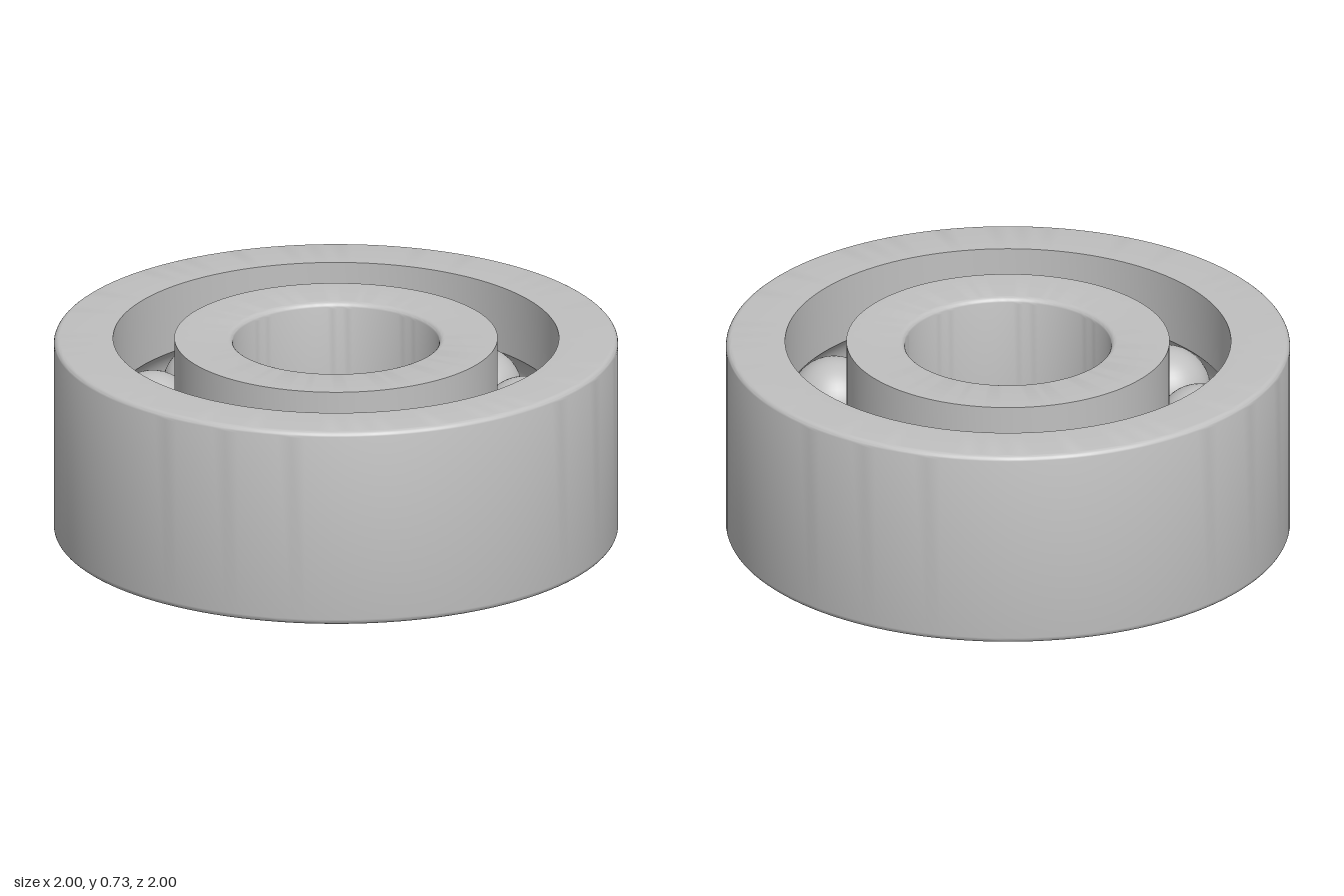
import * as THREE from 'three';
import { toCreasedNormals } from 'three/addons/utils/BufferGeometryUtils.js';

const HEIGHT = 0.725, MID = HEIGHT / 2;
const OUTER = 1, OUTER_LIP = 0.79, INNER_LIP = 0.573, BORE = 0.365;
const FILLET = 0.022;
const PITCH = 0.682, BALL = 0.157, BALLS = 12, TURN = -0.096;

// Points along an arc, both ends included
function arc(cx, cy, r, from, to, steps) {
  return Array.from({ length: steps + 1 }, (_, i) => {
    const a = from + (to - from) * i / steps;
    return new THREE.Vector2(cx + r * Math.cos(a), cy + r * Math.sin(a));
  });
}

// Revolve a closed section, keeping its corners sharp and its fillets smooth
function ring(name, section, material) {
  const geometry = new THREE.LatheGeometry([...section, section[0].clone()], 128);
  const mesh = new THREE.Mesh(toCreasedNormals(geometry, 0.5), material);
  mesh.name = name;
  return mesh;
}

export function createModel() {
  const steel = new THREE.MeshStandardMaterial({ color: 0xc0c0c0 });
  steel.name = 'steel';
  const model = new THREE.Group();
  model.name = 'ballBearing';
  const point = (r, y) => new THREE.Vector2(r, y);
  const q = Math.PI / 2;

  // Outer ring: filleted outside edges, ball groove on the inside wall
  const groove = BALL + 0.002;
  const outerAngle = Math.acos((OUTER_LIP - PITCH) / groove);
  model.add(ring('outerRing', [
    point(OUTER_LIP, 0),
    ...arc(OUTER - FILLET, FILLET, FILLET, -q, 0, 6),
    ...arc(OUTER - FILLET, HEIGHT - FILLET, FILLET, 0, q, 6),
    point(OUTER_LIP, HEIGHT),
    ...arc(PITCH, MID, groove, outerAngle, -outerAngle, 16),
  ], steel));

  // Inner ring: ball groove on the outside wall, filleted bore
  const innerAngle = Math.acos((PITCH - INNER_LIP) / groove);
  model.add(ring('innerRing', [
    point(INNER_LIP, 0),
    ...arc(PITCH, MID, groove, Math.PI + innerAngle, Math.PI - innerAngle, 16),
    point(INNER_LIP, HEIGHT),
    ...arc(BORE + FILLET, HEIGHT - FILLET, FILLET, q, 2 * q, 6),
    ...arc(BORE + FILLET, FILLET, FILLET, 2 * q, 3 * q, 6),
  ], steel));

  // Balls, evenly spaced between the rings
  const balls = new THREE.Group();
  balls.name = 'balls';
  const ballGeometry = new THREE.SphereGeometry(BALL, 40, 24);
  for (let i = 0; i < BALLS; i++) {
    const a = TURN + i * 2 * Math.PI / BALLS;
    const ball = new THREE.Mesh(ballGeometry, steel);
    ball.name = 'ball' + (i + 1);
    ball.position.set(PITCH * Math.cos(a), MID, PITCH * Math.sin(a));
    balls.add(ball);
  }
  model.add(balls);
  return model;
}
